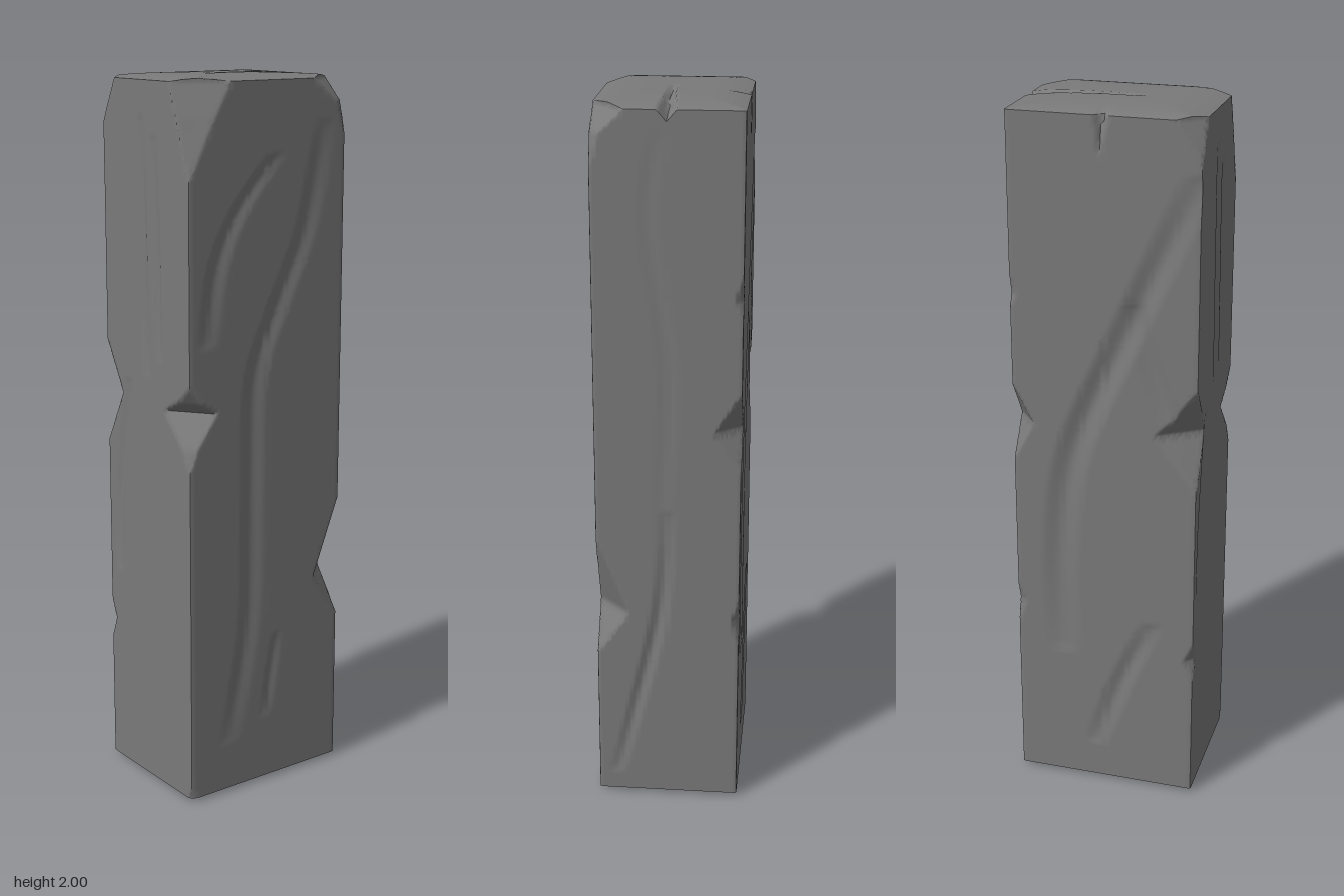
import * as THREE from 'three';
import { mergeVertices, toCreasedNormals } from 'three/addons/utils/BufferGeometryUtils.js';

const HX = 0.26, HZ = 0.2, H = 2;
const clamp = THREE.MathUtils.clamp;

// Linear interpolation in rows [key, v1, v2...] sorted by key
function lookup(rows, key, column) {
  if (key <= rows[0][0]) return rows[0][column];
  for (let i = 1; i < rows.length; i++) {
    const a = rows[i - 1], b = rows[i];
    if (key <= b[0]) return a[column] + (b[column] - a[column]) * (key - a[0]) / (b[0] - a[0]);
  }
  return rows[rows.length - 1][column];
}

// Smooth path through rows of [position along, position across]
function smoothPath(rows) {
  const curve = new THREE.SplineCurve(rows.map(([u, v]) => new THREE.Vector2(u, v)));
  return curve.getPoints(40).map((point) => point.toArray());
}

// Worn vertical edges: rows of [height, cut along x, cut along z]
const E = 0.003;
const edges = [
  { sx: -1, sz: 1, rows: [[0, 0.02, 0.015], [0.04, E, E], [0.97, E, E], [1.03, 0.025, 0.035], [1.12, 0.09, 0.12],
    [1.15, 0.04, 0.06], [1.2, E, E], [1.74, E, E], [2, 0.135, 0.085]] },
  { sx: 1, sz: 1, rows: [[0, E, E], [0.46, E, E], [0.585, 0.09, 0.09], [0.81, E, E], [1.84, E, E],
    [1.93, 0.03, 0.025], [2, 0.11, 0.09]] },
  { sx: 1, sz: -1, rows: [[0, E, E], [0.5, E, E], [0.57, 0.025, 0.02], [0.63, E, E], [1.02, E, E],
    [1.13, 0.06, 0.075], [1.24, E, E], [1.46, E, E], [1.5, 0.022, 0.018], [1.56, E, E], [2, E, E]] },
  { sx: -1, sz: -1, rows: [[0, E, E], [0.38, E, E], [0.44, 0.03, 0.025], [0.5, E, E], [0.98, E, E],
    [1.13, 0.12, 0.08], [1.27, E, E], [1.87, E, E], [2, 0.07, 0.06]] },
];

// Grain grooves and cracks: s is the face's side, w the half width, d the depth
const grooves = [
  // front grain
  { axis: 'z', s: 1, w: 0.045, d: 0.008, path: [[0.15, -0.13], [0.5, -0.06], [0.9, -0.05], [1.2, -0.04], [1.4, 0.04], [1.6, 0.13], [1.88, 0.19]] },
  { axis: 'z', s: 1, w: 0.04, d: 0.007, path: [[1.3, -0.2], [1.5, -0.17], [1.65, -0.1], [1.8, 0.03]] },
  { axis: 'z', s: 1, w: 0.025, d: 0.004, path: [[0.2, 0], [0.45, 0.04]] },
  // back grain
  { axis: 'z', s: -1, w: 0.06, d: 0.016, path: [[0.42, 0.12], [0.73, 0.13], [1.05, 0.09], [1.41, -0.06], [1.85, -0.26]] },
  { axis: 'z', s: -1, w: 0.05, d: 0.01, path: [[1.12, -0.22], [1.25, -0.16], [1.5, -0.08]] },
  { axis: 'z', s: -1, w: 0.045, d: 0.01, path: [[0.12, 0.03], [0.35, -0.05], [0.55, -0.14]] },
  // left side grain
  { axis: 'x', s: 1, w: 0.03, d: 0.01, path: [[0.06, 0.15], [0.25, 0.1], [0.6, 0.02], [0.9, 0]] },
  { axis: 'x', s: 1, w: 0.035, d: 0.003, path: [[0.8, 0.02], [1.3, 0], [1.7, 0.05], [1.95, 0.02]] },
  // right side grain
  { axis: 'x', s: -1, w: 0.022, d: 0.007, path: [[1.2, 0], [1.9, -0.02]] },
  { axis: 'x', s: -1, w: 0.022, d: 0.007, path: [[1.25, 0.06], [1.85, 0.04]] },
  { axis: 'x', s: -1, w: 0.03, d: 0.007, path: [[0.6, -0.15], [0.85, -0.14], [1.18, -0.09]] },
  // splits opening at the back and across the top
  { axis: 'z', s: -1, w: 0.02, d: 0.03, open: true, path: [[1.88, 0.01], [2, 0.003]] },
  { axis: 'y', s: 1, w: 0.026, d: 0.03, open: true, path: [[-0.07, 0.008], [HX, 0]] },
].map((g) => ({ ...g, path: smoothPath(g.path) }));

function carveGroove(g, o, p) {
  const along = g.axis === 'y' ? o.x : o.y;
  const across = g.axis === 'z' ? o.x : o.z;
  const start = g.path[0][0], end = g.path[g.path.length - 1][0];
  const u = (along - start) / (end - start);
  if (u <= 0 || u > 1.0001) return;
  const fade = g.open ? u : Math.sqrt(Math.max(0, Math.sin(Math.PI * u)));
  const width = g.open ? g.w * Math.max(u, 0.4) : g.w;
  let hat = Math.max(0, 1 - Math.abs(across - lookup(g.path, along, 1)) / width);
  if (!g.open) hat = hat * hat * (3 - 2 * hat);
  // fades with distance from the grooved face so neighbouring faces follow
  const half = { x: HX, y: H, z: HZ }[g.axis];
  const near = clamp((g.s * o[g.axis] - half + 0.1) / 0.1, 0, 1);
  p[g.axis] -= g.s * g.d * fade * hat * near;
}

// Pushes points outside a slanted cut back onto it
function cutEdge(edge, p) {
  const a = lookup(edge.rows, p.y, 1), b = lookup(edge.rows, p.y, 2);
  const dx = HX - edge.sx * p.x, dz = HZ - edge.sz * p.z;
  const excess = 1 - dx / a - dz / b;
  if (excess <= 0) return;
  const k = excess / (1 / (a * a) + 1 / (b * b));
  p.x -= edge.sx * k / a;
  p.z -= edge.sz * k / b;
}

export function createModel() {
  let geometry = new THREE.BoxGeometry(HX * 2, H, HZ * 2, 60, 200, 64);
  geometry.translate(0, H / 2, 0);
  geometry.deleteAttribute('uv');
  geometry.deleteAttribute('normal');
  geometry = mergeVertices(geometry);

  const pos = geometry.attributes.position;
  const o = new THREE.Vector3(), p = new THREE.Vector3();
  for (let i = 0; i < pos.count; i++) {
    o.fromBufferAttribute(pos, i);
    p.copy(o);
    grooves.forEach((g) => carveGroove(g, o, p));
    edges.forEach((e) => cutEdge(e, p));
    // gently domed ends
    const r = Math.max(Math.abs(o.x) / HX, Math.abs(o.z) / HZ);
    const end = clamp((Math.abs(o.y - 1) - 0.9) / 0.1, 0, 1);
    p.y -= Math.sign(o.y - 1) * 0.012 * r ** 4 * end;
    pos.setXYZ(i, p.x, p.y, p.z);
  }

  const post = new THREE.Mesh(
    toCreasedNormals(geometry, 1),
    new THREE.MeshStandardMaterial({ color: 0x7a7a7a })
  );
  post.name = 'weatheredPost';
  const model = new THREE.Group();
  model.name = 'post';
  model.add(post);
  return model;
}
